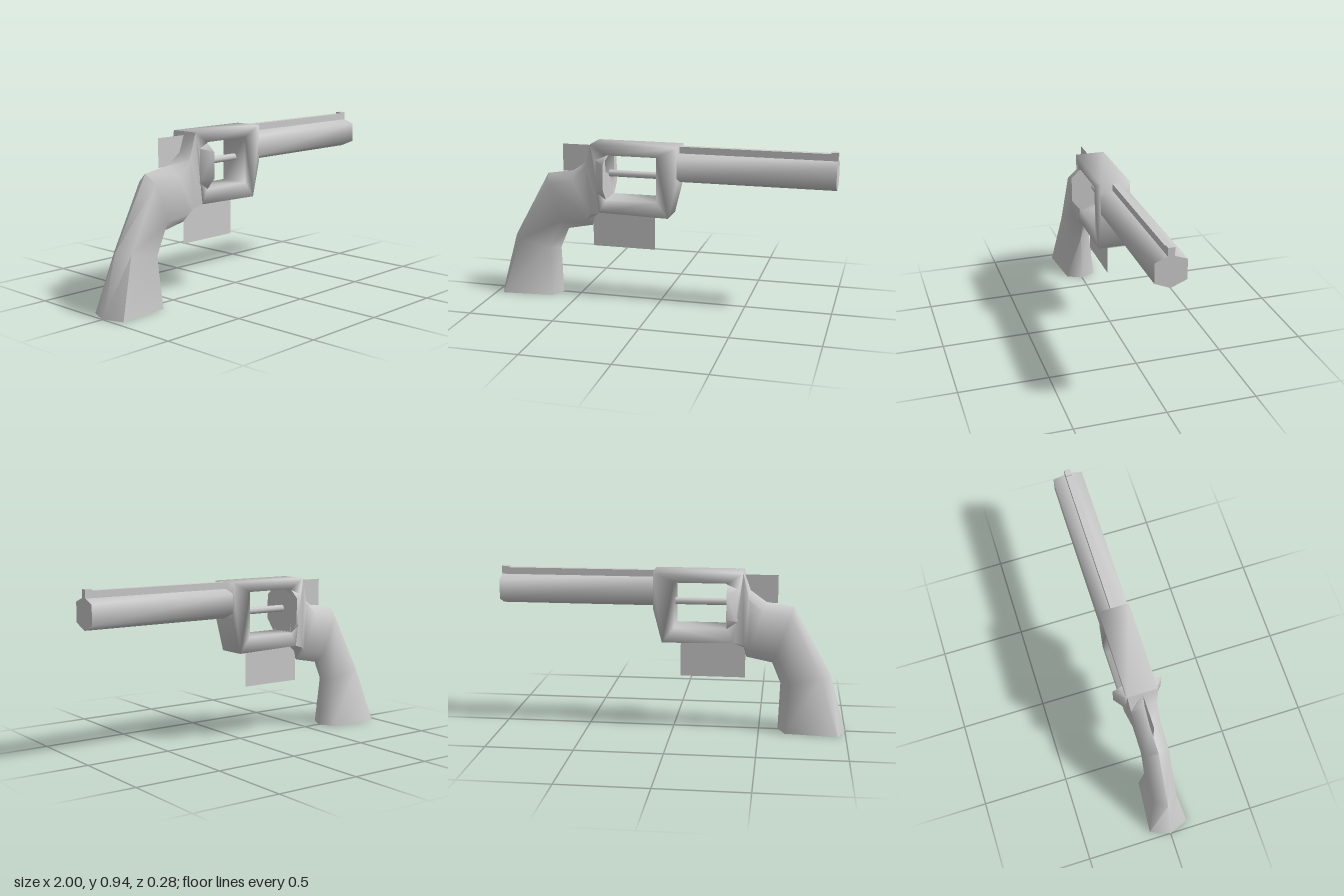
import * as THREE from 'three';
import { mergeVertices, toCreasedNormals } from 'three/addons/utils/BufferGeometryUtils.js';
import { ConvexGeometry } from 'three/addons/geometries/ConvexGeometry.js';

const material = new THREE.MeshStandardMaterial({ color: 0xcccccc });
const sheetMaterial = new THREE.MeshStandardMaterial({ color: 0xcccccc, side: THREE.DoubleSide });

const toPoints = (list) => list.map(([x, y]) => new THREE.Vector2(x, y));

// Welds corners so shading runs smoothly over the whole part
function smooth(geometry) {
  geometry.deleteAttribute('normal');
  geometry.deleteAttribute('uv');
  const welded = mergeVertices(geometry, 1e-4);
  welded.computeVertexNormals();
  return welded;
}

// Extrudes a (z, y) profile along x from x0 to x1
function extrudeAlongX(profile, x0, x1) {
  const geometry = new THREE.ExtrudeGeometry(new THREE.Shape(toPoints(profile)), { depth: x1 - x0, bevelEnabled: false });
  geometry.rotateY(Math.PI / 2).translate(x0, 0, 0);
  return toCreasedNormals(geometry, 1.3);
}

// Lofts six-sided rings, each spanning a back point to a front point
function loft(sections) {
  const positions = [];
  const index = [];
  for (const { back, front, wBack, wFront, tBack, tFront } of sections) {
    const add = (t, z) => positions.push(
      back[0] + (front[0] - back[0]) * t,
      back[1] + (front[1] - back[1]) * t, z);
    add(0, 0);
    add(tBack, wBack);
    add(tFront, wFront);
    add(1, 0);
    add(tFront, -wFront);
    add(tBack, -wBack);
  }
  const n = 6;
  for (let i = 0; i < sections.length - 1; i++) {
    for (let j = 0; j < n; j++) {
      const a = i * n + j;
      const b = i * n + (j + 1) % n;
      index.push(a, b, b + n, a, b + n, a + n);
    }
  }
  const top = (sections.length - 1) * n;
  for (let j = 1; j < n - 1; j++) {
    index.push(0, j + 1, j, top, top + j, top + j + 1);
  }
  const geometry = new THREE.BufferGeometry();
  geometry.setAttribute('position', new THREE.Float32BufferAttribute(positions, 3));
  geometry.setIndex(index);
  return toCreasedNormals(geometry, 1.2);
}

export function createModel() {
  const model = new THREE.Group();
  const add = (name, geometry, mat = material) => {
    const mesh = new THREE.Mesh(geometry, mat);
    mesh.name = name;
    model.add(mesh);
    return mesh;
  };

  // Frame with the open window
  const frame = new THREE.Shape(toPoints([
    [-0.35, 0.53], [0.06, 0.52], [0.11, 0.72], [0.11, 0.93], [-0.40, 0.93],
  ]));
  frame.holes.push(new THREE.Path(toPoints([
    [-0.31, 0.61], [-0.31, 0.87], [-0.01, 0.87], [-0.01, 0.61],
  ])));
  const frameGeometry = new THREE.ExtrudeGeometry(frame, { depth: 0.17, bevelEnabled: false });
  frameGeometry.translate(0, 0, -0.085);
  add('frame', smooth(frameGeometry));

  // Flared shield behind the window
  const shieldPoints = [];
  for (const s of [-1, 1]) {
    for (const [x, y, z] of [
      [-0.31, 0.865, 0.085], [-0.31, 0.82, 0.138], [-0.31, 0.675, 0.138],
      [-0.31, 0.61, 0.085], [-0.37, 0.65, 0.084], [-0.37, 0.84, 0.084],
    ]) shieldPoints.push(new THREE.Vector3(x, y, s * z));
  }
  add('recoilShield', toCreasedNormals(new ConvexGeometry(shieldPoints), 1.0));

  // Grip and neck, from the flared base up to the frame
  add('grip', loft([
    { back: [-1.0, 0], front: [-0.61, 0], wBack: 0.115, wFront: 0.088, tBack: 0.115, tFront: 0.89 },
    { back: [-0.905, 0.34], front: [-0.62, 0.28], wBack: 0.068, wFront: 0.065, tBack: 0.18, tFront: 0.82 },
    { back: [-0.69, 0.73], front: [-0.57, 0.40], wBack: 0.066, wFront: 0.062, tBack: 0.15, tFront: 0.82 },
    { back: [-0.53, 0.755], front: [-0.42, 0.43], wBack: 0.068, wFront: 0.062, tBack: 0.15, tFront: 0.85 },
    { back: [-0.44, 0.82], front: [-0.405, 0.485], wBack: 0.074, wFront: 0.072, tBack: 0.12, tFront: 0.92 },
    { back: [-0.40, 0.93], front: [-0.35, 0.53], wBack: 0.085, wFront: 0.085, tBack: 0, tFront: 1 },
  ]));

  // Six-sided barrel with a top rail and front sight
  add('barrel', extrudeAlongX([
    [0, 0.72], [0.085, 0.755], [0.085, 0.865], [0, 0.896], [-0.085, 0.865], [-0.085, 0.755],
  ], 0.1, 1));
  add('rail', extrudeAlongX([
    [-0.018, 0.88], [0.018, 0.88], [0.018, 0.928], [-0.018, 0.928],
  ], 0.1, 1));
  add('frontSight', extrudeAlongX([
    [-0.018, 0.92], [0.018, 0.92], [0.018, 0.936], [-0.018, 0.936],
  ], 0.96, 1));

  // Axle across the window
  const axle = add('axlePin', new THREE.CylinderGeometry(0.02, 0.02, 0.32, 8));
  axle.rotation.z = Math.PI / 2;
  axle.position.set(-0.16, 0.75, 0);

  // Thin flat sheets on the centre plane
  add('hammer', new THREE.PlaneGeometry(0.195, 0.16), sheetMaterial).position.set(-0.4975, 0.83, 0);
  add('triggerGuard', new THREE.PlaneGeometry(0.375, 0.225), sheetMaterial).position.set(-0.2275, 0.4175, 0);

  return model;
}
